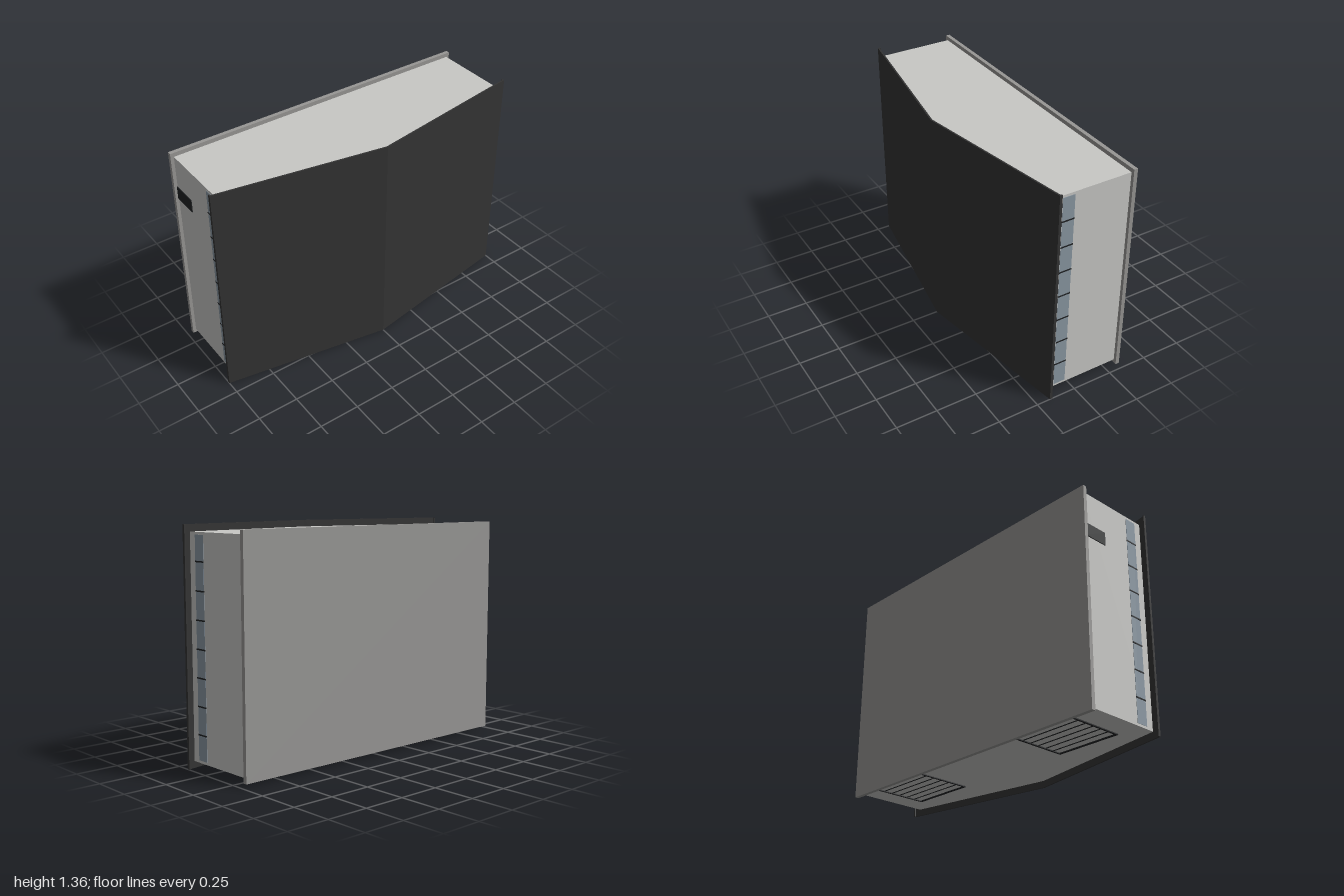
import * as THREE from 'three';

export function createModel() {
  const mat = (name, color) => {
    const m = new THREE.MeshStandardMaterial({ color });
    m.name = name;
    return m;
  };
  const shellDark = mat('charcoal shell', 0x333333);
  const bodyGrey = mat('light grey body', 0xc8c8c5);
  const plateGrey = mat('mid grey plate', 0x979694);
  const ventBlue = mat('blue grey vent', 0x8a97a2);
  const black = mat('black trim', 0x202224);

  const model = new THREE.Group();
  model.name = 'wallCabinet';

  const add = (parent, name, geometry, material) => {
    const mesh = new THREE.Mesh(geometry, material);
    mesh.name = name;
    parent.add(mesh);
    return mesh;
  };
  // Box given by its limits on each axis
  const box = (parent, name, material, [x0, x1], [y0, y1], [z0, z1]) => {
    const mesh = add(parent, name, new THREE.BoxGeometry(x1 - x0, y1 - y0, z1 - z0), material);
    mesh.position.set((x0 + x1) / 2, (y0 + y1) / 2, (z0 + z1) / 2);
    return mesh;
  };
  // Upright prism from a plan outline of [x, z] points
  const prism = (name, material, plan, y0, y1) => {
    const shape = new THREE.Shape(plan.map(([x, z]) => new THREE.Vector2(x, -z)));
    const geometry = new THREE.ExtrudeGeometry(shape, { depth: y1 - y0, bevelEnabled: false });
    geometry.rotateX(-Math.PI / 2).translate(0, y0, 0);
    return add(model, name, geometry, material);
  };

  // Main housing with a shallow V front
  prism('body', bodyGrey, [[-0.955, -0.312], [0.955, -0.312], [0.955, 0.163], [0, 0.324], [-0.955, 0.163]], 0.04, 1.315);

  // Thin folded front cover with returned side lips
  prism('frontCover', shellDark, [
    [-1, 0.15], [-0.992, 0.15], [-0.992, 0.158], [0, 0.325], [0.992, 0.158], [0.992, 0.15],
    [1, 0.15], [1, 0.166], [0, 0.335], [-1, 0.166],
  ], 0, 1.355);

  // Mounting plate
  box(model, 'backPlate', plateGrey, [-0.975, 0.975], [0.018, 1.34], [-0.335, -0.311]);

  for (const side of [1, -1]) {
    // Side vent strip with cross dividers
    const vent = new THREE.Group();
    vent.name = side > 0 ? 'leftVent' : 'rightVent';
    model.add(vent);
    const span = (d) => (side > 0 ? [0.952, 0.955 + d] : [-0.955 - d, -0.952]);
    box(vent, 'ventStrip', ventBlue, span(0.002), [0.055, 1.3], [0.04, 0.115]);
    for (let i = 0; i < 7; i++) {
      const y = 0.201 + i * 0.1592;
      box(vent, 'ventDivider', black, span(0.004), [y - 0.004, y + 0.004], [0.039, 0.116]);
    }

    // Underside grille: frame and slats
    const grille = new THREE.Group();
    grille.name = side > 0 ? 'leftGrille' : 'rightGrille';
    grille.position.x = side * 0.6;
    model.add(grille);
    const y = [0.034, 0.041];
    for (const x of [-0.204, 0.204]) box(grille, 'grilleSide', black, [x - 0.006, x + 0.006], y, [-0.311, 0.055]);
    for (const z of [-0.299, 0.049]) box(grille, 'grilleEnd', black, [-0.21, 0.21], y, [z - 0.006, z + 0.006]);
    for (let i = 1; i <= 5; i++) {
      const z = -0.299 + i * 0.058;
      box(grille, 'grilleSlat', black, [-0.2, 0.2], [0.037, 0.041], [z - 0.003, z + 0.003]);
    }
  }

  // Connector panel on one side
  box(model, 'connectorPanel', black, [-0.96, -0.952], [1.04, 1.12], [-0.311, -0.152]);

  return model;
}
